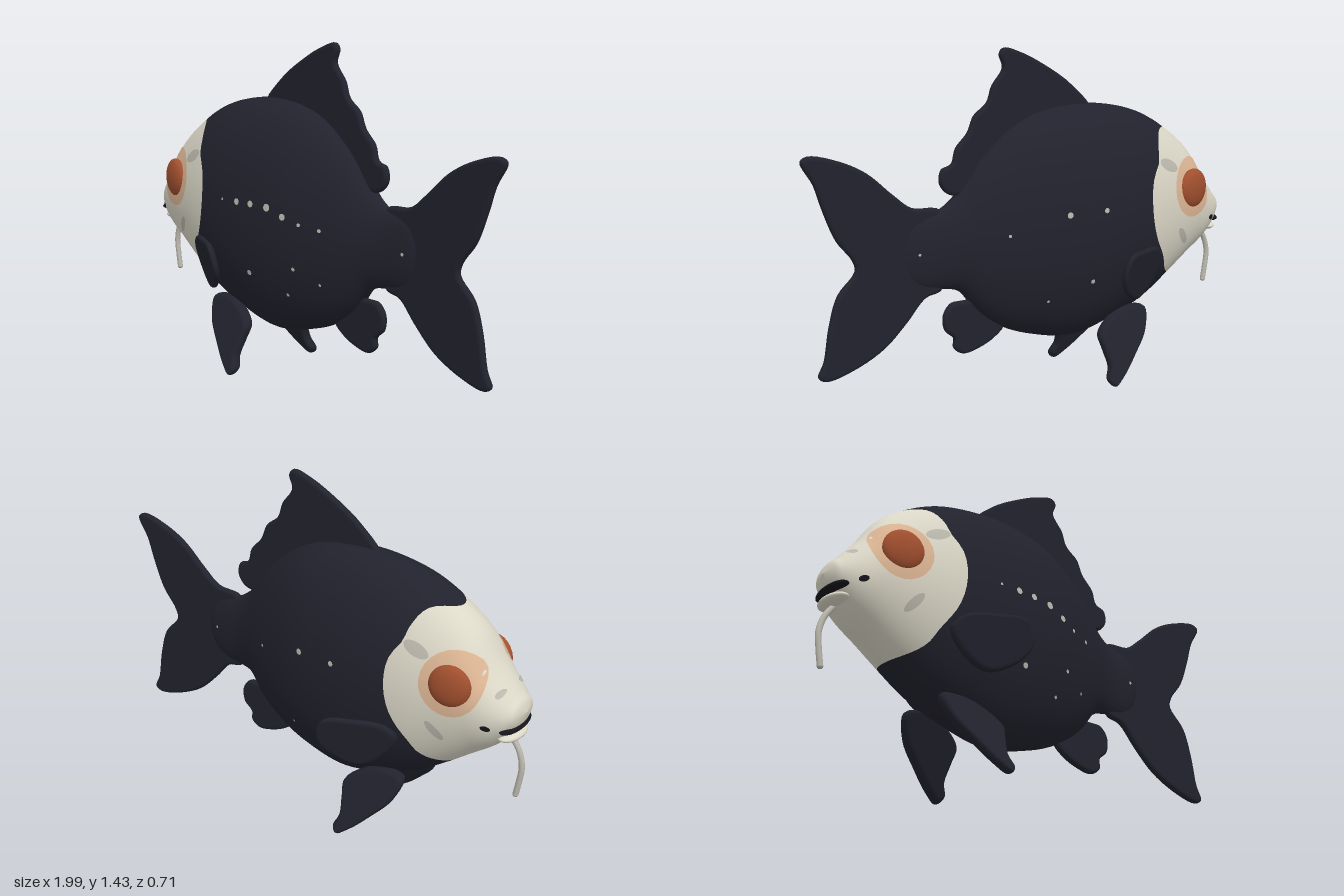
import * as THREE from 'three';

const material = (name, color, side = THREE.FrontSide) => {
  const m = new THREE.MeshStandardMaterial({ color, side });
  m.name = name;
  return m;
};

// Smooth curve through rows of [key, value, value...]
function interpolator(rows) {
  const size = rows[0].length - 1;
  const curve = new THREE.CubicInterpolant(rows.map(r => r[0]), rows.flatMap(r => r.slice(1)), size);
  return t => Array.from(curve.evaluate(t));
}

// Body stations: x, top, bottom, half width
const X0 = -0.985, X1 = 0.61;
const section = interpolator([
  [X0, 0.70, 0.70, 0], [-0.975, 0.735, 0.66, 0.06], [-0.95, 0.765, 0.61, 0.095],
  [-0.9, 0.825, 0.55, 0.13], [-0.86, 0.875, 0.515, 0.148], [-0.79, 0.98, 0.465, 0.17],
  [-0.68, 1.07, 0.385, 0.195], [-0.55, 1.14, 0.30, 0.22], [-0.39, 1.18, 0.235, 0.235],
  [-0.2, 1.19, 0.19, 0.23], [0, 1.155, 0.225, 0.2], [0.13, 1.085, 0.275, 0.16],
  [0.25, 0.975, 0.36, 0.115], [0.33, 0.87, 0.455, 0.08], [0.41, 0.81, 0.478, 0.052],
  [0.5, 0.785, 0.49, 0.035], [0.56, 0.75, 0.53, 0.024], [X1, 0.65, 0.645, 0],
]);

// Edge of the pale face: sine of the section angle, x
const faceEdge = interpolator([
  [-1, -0.71], [-0.67, -0.61], [-0.5, -0.58], [-0.18, -0.51], [0.1, -0.485],
  [0.36, -0.5], [0.51, -0.54], [0.68, -0.56], [0.88, -0.61], [1, -0.69],
]);

// Side surface of the body at x, y
function surfaceZ(x, y) {
  const [top, bottom, w] = section(x);
  const s = (y - (top + bottom) / 2) / ((top - bottom) / 2);
  return w * Math.sqrt(Math.max(0, 1 - s * s));
}

// Lofted body, with a row of vertices lying along the face edge
function bodyGeometry() {
  const cols = 72, headRows = 28, bodyRows = 56, rows = headRows + bodyRows;
  const pos = [], index = [];
  for (let i = 0; i <= rows; i++) {
    for (let j = 0; j < cols; j++) {
      const a = (j / cols) * Math.PI * 2, s = Math.sin(a);
      const edge = faceEdge(s)[0];
      const x = i <= headRows
        ? X0 + (edge - X0) * (i / headRows) ** 1.6
        : X1 - (X1 - edge) * (1 - (i - headRows) / bodyRows) ** 1.3;
      const [top, bottom, w] = section(x);
      pos.push(x, (top + bottom) / 2 + ((top - bottom) / 2) * s, Math.max(0, w) * Math.cos(a));
    }
  }
  for (let i = 0; i < rows; i++) {
    for (let j = 0; j < cols; j++) {
      const k = (j + 1) % cols;
      const a = i * cols + j, b = a + cols, c = (i + 1) * cols + k, d = i * cols + k;
      index.push(a, b, c, a, c, d);
    }
  }
  const g = new THREE.BufferGeometry();
  g.setAttribute('position', new THREE.Float32BufferAttribute(pos, 3));
  g.setIndex(index);
  g.addGroup(0, headRows * cols * 6, 0);
  g.addGroup(headRows * cols * 6, bodyRows * cols * 6, 1);
  g.computeVertexNormals();
  return g;
}

// Bevelled fin from an outline; lean gives its z offset at x, y
function finGeometry(points, thickness, lean = () => 0) {
  const outline = new THREE.CatmullRomCurve3(
    points.map(([x, y]) => new THREE.Vector3(x, y, 0)), true, 'centripetal').getPoints(points.length * 5);
  outline.pop();
  const bevel = thickness * 0.45;
  const g = new THREE.ExtrudeGeometry(new THREE.Shape(outline.map(p => new THREE.Vector2(p.x, p.y))), {
    depth: thickness - bevel * 2, steps: 1, bevelEnabled: true, bevelThickness: bevel,
    bevelSize: 0.015, bevelOffset: -0.015, bevelSegments: 3,
  });
  g.translate(0, 0, bevel - thickness / 2);
  const p = g.attributes.position;
  for (let i = 0; i < p.count; i++) p.setZ(i, p.getZ(i) + lean(p.getX(i), p.getY(i)));
  g.computeVertexNormals();
  return g;
}

// Thin oval marking that follows the body surface
function patchGeometry(x, y, rx, ry, turn = 0, lift = 0.004) {
  const g = new THREE.RingGeometry(0, 1, 24, rx > 0.03 ? 6 : 1);
  g.scale(rx, ry, 1).rotateZ(turn).translate(x, y, 0);
  const p = g.attributes.position;
  for (let i = 0; i < p.count; i++) p.setZ(i, surfaceZ(p.getX(i), p.getY(i)) + lift);
  g.computeVertexNormals();
  return g;
}

export function createModel() {
  const fish = new THREE.Group();
  fish.name = 'fish';
  const dark = material('darkScales', 0x22222e);
  const cream = material('creamFace', 0xdcd8c8);
  const peach = material('peachEyeRing', 0xdcb594);
  const rust = material('rustEye', 0xa2502f);
  const grey = material('greyMarking', 0xbcb9ae);
  const black = material('mouthBlack', 0x15151b);

  const add = (name, geometry, mat, side = 1) => {
    const mesh = new THREE.Mesh(geometry, mat);
    mesh.name = name;
    mesh.scale.z = side;
    fish.add(mesh);
    return mesh;
  };
  const ellipsoid = (x, y, z, rx, ry, rz, yaw = 0) =>
    new THREE.SphereGeometry(1, 32, 20).scale(rx, ry, rz).rotateY(yaw).translate(x, y, z);

  add('body', bodyGeometry(), [cream, dark]);

  // Single fins
  add('dorsalFin', finGeometry([
    [-0.31, 1.16], [-0.21, 1.275], [-0.07, 1.365], [0.035, 1.415], [0.115, 1.435], [0.135, 1.41],
    [0.12, 1.355], [0.17, 1.285], [0.195, 1.22], [0.255, 1.17], [0.285, 1.105], [0.34, 1.045],
    [0.36, 0.985], [0.405, 0.965], [0.415, 0.91], [0.38, 0.865], [0.31, 0.855], [0.2, 0.9], [-0.1, 1.08],
  ], 0.032), dark);
  add('tailFin', finGeometry([
    [0.41, 0.8], [0.54, 0.825], [0.62, 0.885], [0.73, 0.98], [0.84, 1.035], [0.97, 1.065],
    [0.998, 1.045], [0.95, 0.955], [0.915, 0.85], [0.865, 0.73], [0.8, 0.645], [0.79, 0.6],
    [0.865, 0.515], [0.905, 0.395], [0.93, 0.26], [0.955, 0.2], [0.925, 0.18], [0.81, 0.205],
    [0.675, 0.27], [0.57, 0.365], [0.49, 0.45], [0.41, 0.48],
  ], 0.032), dark);
  add('analFin', finGeometry([
    [0.12, 0.285], [0.17, 0.235], [0.25, 0.2], [0.32, 0.19], [0.36, 0.22], [0.36, 0.26],
    [0.4, 0.3], [0.405, 0.365], [0.37, 0.41], [0.32, 0.415], [0.24, 0.41], [0.15, 0.36],
  ], 0.034), dark);

  // Lips, mouth and chin barbel
  add('mouth', ellipsoid(-0.938, 0.638, 0, 0.04, 0.022, 0.108), black);
  add('lowerLip', ellipsoid(-0.93, 0.597, 0, 0.048, 0.022, 0.09), cream);
  const barbelPath = new THREE.CatmullRomCurve3([
    [-0.925, 0.585], [-0.965, 0.525], [-0.982, 0.46], [-0.975, 0.39], [-0.965, 0.33],
  ].map(([x, y]) => new THREE.Vector3(x, y, 0)));
  add('barbel', new THREE.TubeGeometry(barbelPath, 24, 0.012, 10), grey);
  add('barbelTip', ellipsoid(-0.965, 0.33, 0, 0.012, 0.012, 0.012), grey);

  // Paired fins, eyes and face markings
  const pectoral = finGeometry([
    [-0.545, 0.53], [-0.5, 0.585], [-0.39, 0.597], [-0.285, 0.585], [-0.253, 0.5],
    [-0.285, 0.43], [-0.39, 0.375], [-0.47, 0.415],
  ], 0.034, (x, y) => 0.205 + (x + 0.54) * 0.46 + (y - 0.5) * 0.22);
  const pelvic = finGeometry([
    [-0.525, 0.295], [-0.5, 0.2], [-0.42, 0.11], [-0.34, 0.035], [-0.285, 0.002], [-0.262, 0.03],
    [-0.28, 0.08], [-0.27, 0.15], [-0.263, 0.215], [-0.34, 0.28], [-0.43, 0.31],
  ], 0.05, (x, y) => 0.125 + (0.28 - y) * 0.41);
  for (const [label, side] of [['left', 1], ['right', -1]]) {
    const prefix = side === 1 ? 'front' : 'back';
    add(prefix + 'PectoralFin', pectoral, dark, side);
    add(prefix + 'PelvicFin', pelvic, dark, side);
    add(prefix + 'EyeRing', patchGeometry(-0.745, 0.81, 0.118, 0.13), peach, side);
    add(prefix + 'Eye', ellipsoid(-0.745, 0.805, 0.172, 0.084, 0.086, 0.034, -0.22), rust, side);
    add(prefix + 'Nostril', patchGeometry(-0.91, 0.785, 0.012, 0.014), grey, side);
    add(prefix + 'BrowMark', patchGeometry(-0.6, 0.92, 0.055, 0.025, 0.4, 0.003), grey, side);
    add(prefix + 'CheekMark', patchGeometry(-0.69, 0.6, 0.05, 0.018, 0.9, 0.003), grey, side);
    add(prefix + 'MouthCorner', patchGeometry(-0.885, 0.655, 0.018, 0.012, 0.3), black, side);
  }

  // Pale flecks along the flanks: x, y, radius
  const flecks = [
    [-0.24, 0.77, 0.014], [-0.16, 0.77, 0.014], [-0.07, 0.765, 0.016], [0.01, 0.735, 0.014],
    [-0.19, 0.47, 0.012], [0.085, 0.71, 0.008], [0.175, 0.695, 0.008], [0.05, 0.52, 0.008],
    [0, 0.4, 0.007], [0.16, 0.465, 0.006], [0.525, 0.64, 0.007], [-0.33, 0.77, 0.006],
  ];
  flecks.forEach(([x, y, r], i) => {
    add('frontFleck', patchGeometry(x, y, r, r), grey);
    if (i % 2 === 0) add('backFleck', patchGeometry(x, y, r * 0.8, r * 0.8), grey, -1);
  });
  return fish;
}
